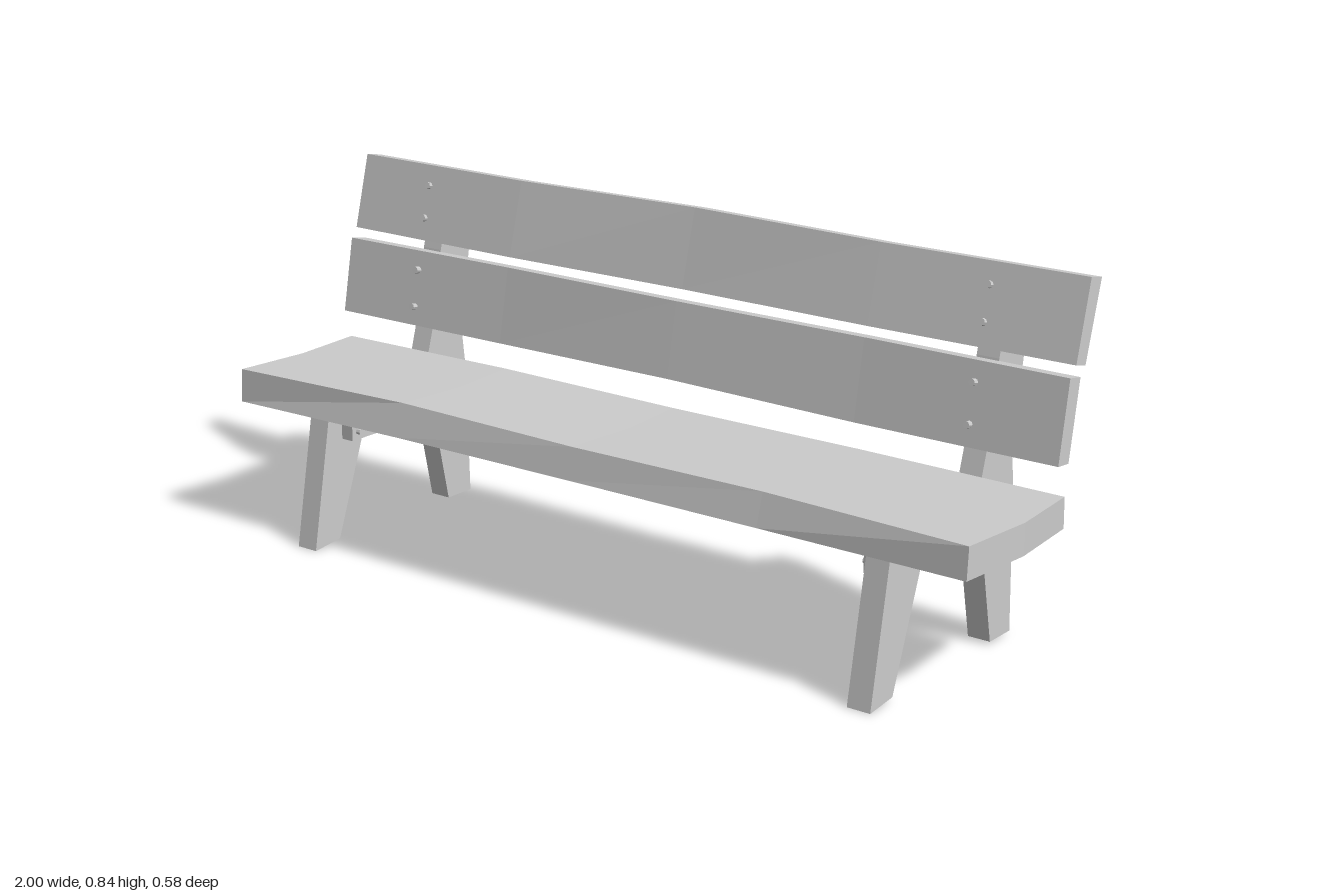
import * as THREE from 'three';

const material = new THREE.MeshStandardMaterial({ color: 0xcccccc, flatShading: true });

function addMesh(group, name, geometry) {
  const mesh = new THREE.Mesh(geometry, material);
  mesh.name = name;
  group.add(mesh);
  return mesh;
}

// Side profile given as [z, y] points, extruded across x
function sideProfile(points, centreX, width) {
  const shape = new THREE.Shape(points.map(([z, y]) => new THREE.Vector2(z, y)));
  const geometry = new THREE.ExtrudeGeometry(shape, { depth: width, bevelEnabled: false });
  geometry.rotateY(-Math.PI / 2);
  geometry.translate(centreX + width / 2, 0, 0);
  return geometry;
}

// Rough-cut plank: a box whose section corners [z, y] wander along its length
function plank({ bottomFront, topFront, bottomBack, topBack, left, right, endCurve = 0, wobble }) {
  const geometry = new THREE.BoxGeometry(1, 1, 1, 4, 1, 2);
  const p = geometry.attributes.position;
  const mix = THREE.MathUtils.lerp;
  for (let i = 0; i < p.count; i++) {
    const u = p.getX(i) + 0.5, v = p.getY(i) + 0.5, w = p.getZ(i) + 0.5;
    const at = (k) => mix(mix(bottomBack[k], topBack[k], v), mix(bottomFront[k], topFront[k], v), w);
    const [dz, dy] = wobble(Math.round(u * 4), v, w);
    const bow = endCurve * (1 - Math.abs(2 * w - 1));
    p.setXYZ(i, mix(left, right, u) + bow, at(1) + dy, at(0) + dz);
  }
  geometry.computeVertexNormals();
  return geometry;
}

export function createModel() {
  const bench = new THREE.Group();
  bench.name = 'bench';

  // Seat, hollow at one end and bulging at the other
  addMesh(bench, 'seat', plank({
    bottomFront: [0.265, 0.318], topFront: [0.26, 0.392],
    bottomBack: [-0.112, 0.32], topBack: [-0.11, 0.392],
    left: -1, right: 0.985, endCurve: 0.016,
    wobble: (s, v, w) => [
      w * v * [0, -0.018, -0.012, -0.016, 0][s],
      v ? [0, 0.005, 0.001, 0.003, 0][s] : [-0.004, 0.003, 0.004, 0.004, 0.003][s],
    ],
  }));

  // Back slats
  const slats = [
    {
      name: 'lowerBackSlat', left: -1, right: 0.978,
      bottomFront: [-0.09, 0.457], topFront: [-0.123, 0.637],
      bottomBack: [-0.132, 0.453], topBack: [-0.165, 0.63],
      wobble: (s, v) => [[0, -0.005, 0, -0.005, 0][s], v ? 0 : [0.004, 0.004, 0.008, 0, 0.002][s]],
      boltHeights: [0.505, 0.592],
    },
    {
      name: 'upperBackSlat', left: -0.992, right: 0.985,
      bottomFront: [-0.132, 0.663], topFront: [-0.178, 0.836],
      bottomBack: [-0.17, 0.654], topBack: [-0.221, 0.828],
      wobble: (s, v) => [[0, 0.006, -0.003, 0.005, 0][s], v ? [0, 0, 0.004, 0, 0][s] : 0],
      boltHeights: [0.713, 0.788],
    },
  ];
  const boltShape = new THREE.CylinderGeometry(0.008, 0.008, 0.024, 8);
  const frames = [{ x: -0.776, side: 'right' }, { x: 0.762, side: 'left' }];

  for (const slat of slats) {
    addMesh(bench, slat.name, plank(slat));
    const [z0, y0] = slat.bottomFront, [z1, y1] = slat.topFront;
    const tilt = Math.atan2(z0 - z1, y1 - y0);
    for (const { x } of frames) for (const y of slat.boltHeights) {
      const bolt = addMesh(bench, 'slatBolt', boltShape);
      bolt.position.set(x, y, z0 + (z1 - z0) * (y - y0) / (y1 - y0));
      bolt.rotation.x = Math.PI / 2 - tilt;
    }
  }

  // End frames: front leg, back post and the inner rail joining them
  const frontLeg = [[0.29, 0.002], [0.209, 0.011], [0.093, 0.325], [0.23, 0.325]];
  const backPost = [
    [-0.255, 0.008], [-0.246, 0.33], [-0.234, 0.43], [-0.26, 0.58], [-0.287, 0.727],
    [-0.208, 0.79], [-0.166, 0.635], [-0.134, 0.46], [-0.113, 0.39], [-0.11, 0.315], [-0.174, 0.008],
  ];
  const rail = [[0.19, 0.252], [0.19, 0.322], [-0.2, 0.322], [-0.2, 0.252]];
  for (const { x, side } of frames) {
    const frame = new THREE.Group();
    frame.name = side + 'EndFrame';
    bench.add(frame);
    const inward = -Math.sign(x);
    addMesh(frame, 'frontLeg', sideProfile(frontLeg, x, 0.056));
    addMesh(frame, 'backPost', sideProfile(backPost, x, 0.054));
    addMesh(frame, 'rail', sideProfile(rail, x + inward * 0.044, 0.034));
    for (const [z, y] of [[0.17, 0.272], [0.135, 0.3], [-0.135, 0.3], [-0.175, 0.272]]) {
      const bolt = addMesh(frame, 'railBolt', boltShape);
      bolt.position.set(x + inward * 0.06, y, z);
      bolt.rotation.z = Math.PI / 2;
    }
  }
  return bench;
}
